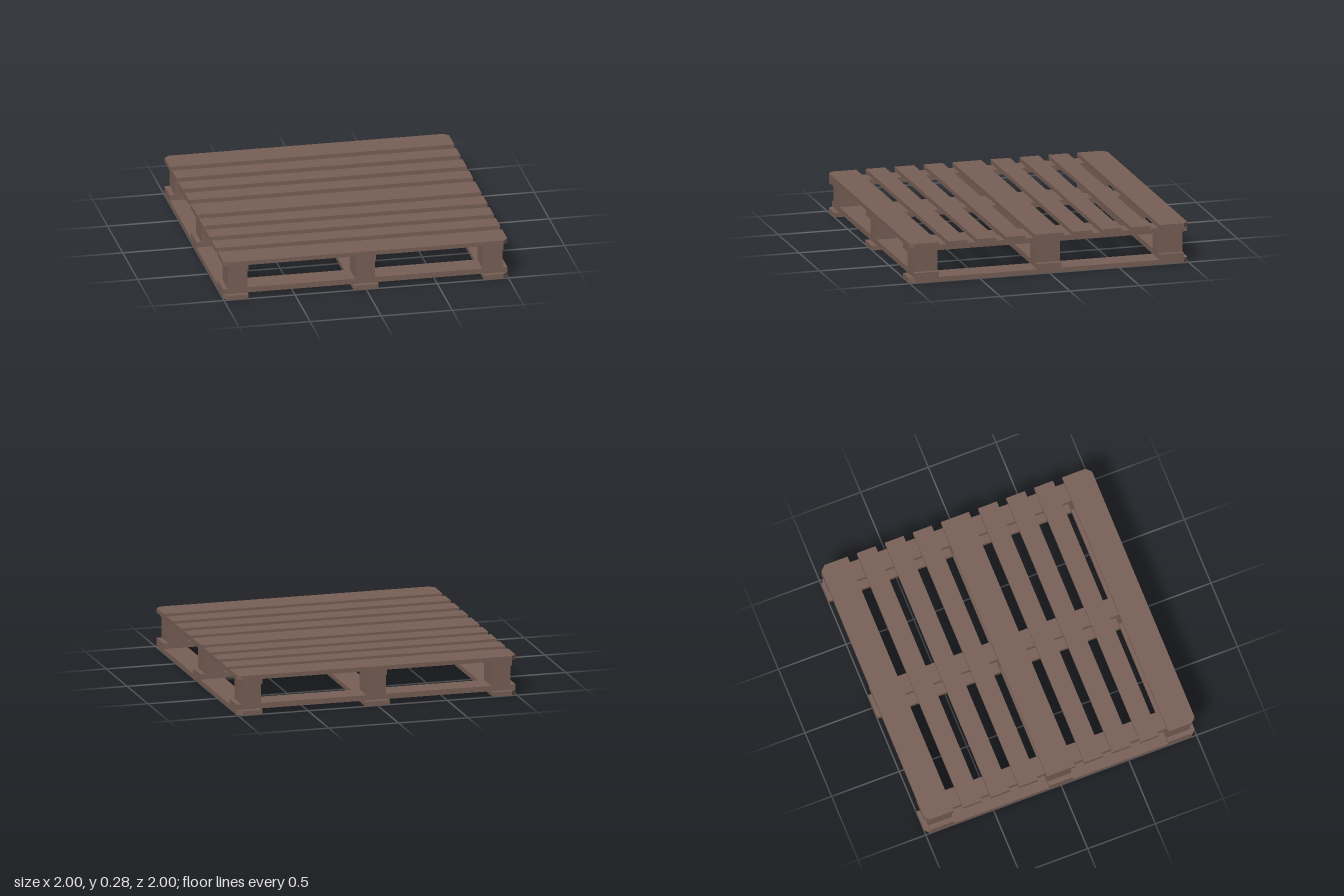
import * as THREE from 'three';

const wood = new THREE.MeshStandardMaterial({ color: 0x775f55, flatShading: true });

// Flat board between two corners; cuts lists the [signX, signZ] corners to chamfer.
function board(name, x0, x1, y0, y1, z0, z1, cuts = []) {
  const c = 0.035;
  const cut = (sx, sz) => cuts.some(([a, b]) => a === sx && b === sz);
  const outline = [];
  // Corners in order; each chamfered corner gives two points.
  [[-1, -1], [1, -1], [1, 1], [-1, 1]].forEach(([sx, sz], i) => {
    const x = sx < 0 ? x0 : x1, z = sz < 0 ? z0 : z1;
    if (!cut(sx, sz)) return outline.push(new THREE.Vector2(x, z));
    const alongX = new THREE.Vector2(x - sx * c, z);
    const alongZ = new THREE.Vector2(x, z - sz * c);
    outline.push(...(i % 2 ? [alongX, alongZ] : [alongZ, alongX]));
  });
  const geometry = new THREE.ExtrudeGeometry(new THREE.Shape(outline), { depth: y1 - y0, bevelEnabled: false });
  geometry.rotateX(Math.PI / 2).translate(0, y1, 0);
  const mesh = new THREE.Mesh(geometry, wood);
  mesh.name = name;
  return mesh;
}

export function createModel() {
  const pallet = new THREE.Group();
  pallet.name = 'pallet';

  // Layer heights: runners, cross boards, blocks, stringers, deck
  const [y0, y1, y2, y3, y4, y5] = [0, 0.032, 0.07, 0.213, 0.25, 0.28];
  const rowsX = [[-0.965, -0.827], [-0.069, 0.069], [0.827, 0.965]];
  const rowsZ = [[-0.965, -0.792], [-0.088, 0.088], [0.792, 0.965]];
  const runnersX = [[-1, -0.827], [-0.088, 0.088], [0.827, 1]];

  // Bottom runners, front to back, with the outer corners cut
  runnersX.forEach(([a, b], i) => {
    const s = i - 1;
    pallet.add(board('bottomRunner', a, b, y0, y1, -1, 1, s ? [[s, -1], [s, 1]] : []));
  });

  // Cross boards lying on the runners
  for (const [a, b] of rowsZ) pallet.add(board('crossBoard', -1, 1, y1, y2, a, b));

  // Nine spacer blocks
  for (const [xa, xb] of rowsX)
    for (const [za, zb] of rowsZ) pallet.add(board('spacerBlock', xa, xb, y2, y3, za, zb));

  // Stringers under the deck
  for (const [a, b] of rowsX) pallet.add(board('stringer', a, b, y3, y4, -1, 1));

  // Deck: wide boards at the ends and middle, narrow boards between
  const wide = 0.207, narrow = 0.139;
  const widths = [wide, narrow, narrow, narrow, wide, narrow, narrow, narrow, wide];
  const gap = (2 - 3 * wide - 6 * narrow) / 8;
  let z = -1;
  widths.forEach((w, i) => {
    const end = i === 0 ? -1 : i === 8 ? 1 : 0;
    pallet.add(board('deckBoard', -1, 1, y4, y5, z, z + w, end ? [[-1, end], [1, end]] : []));
    z += w + gap;
  });

  return pallet;
}
